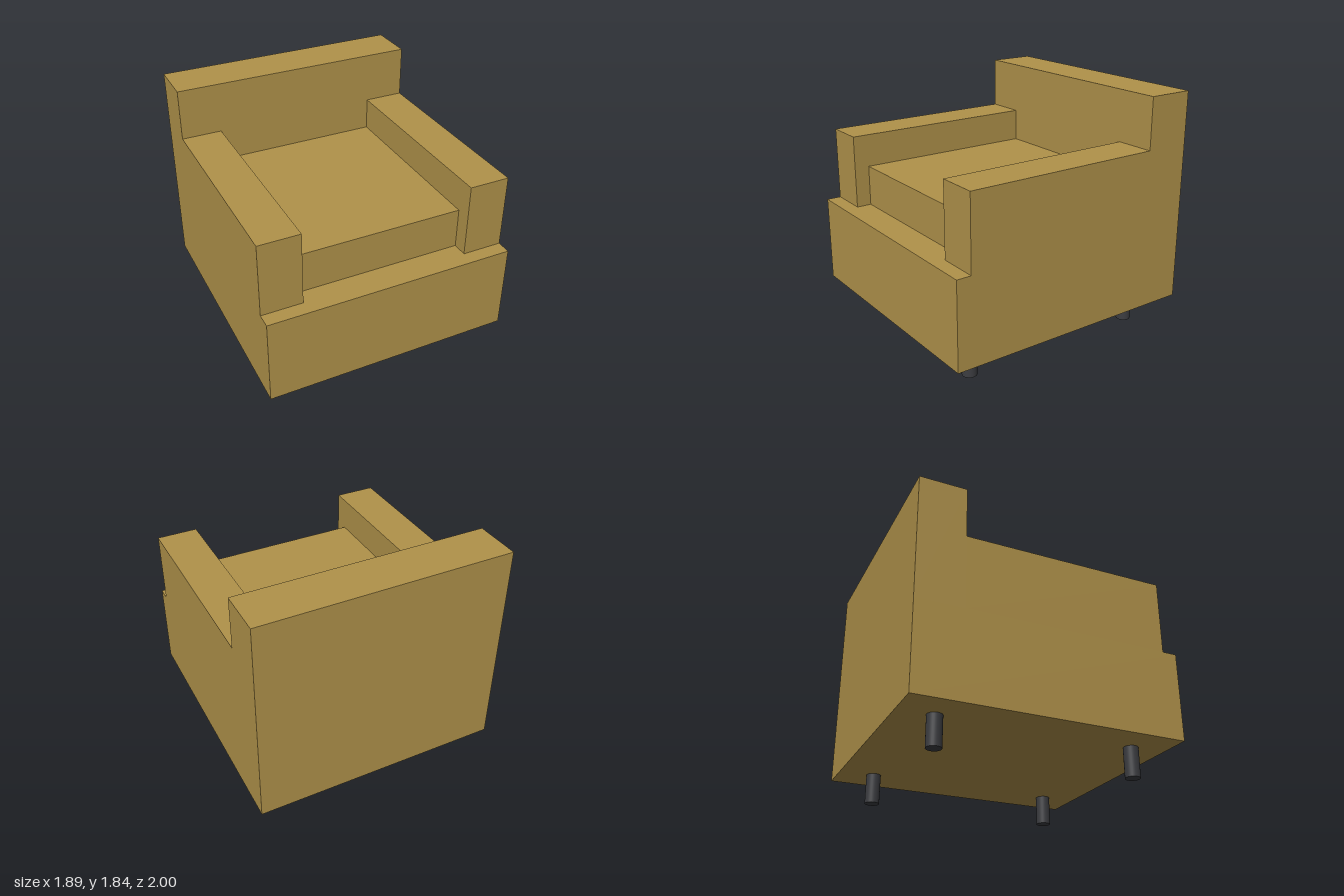
import * as THREE from 'three';

export function createModel() {
  const group = new THREE.Group();
  const fabric = new THREE.MeshStandardMaterial({ color: 0xb0924a });
  const legMaterial = new THREE.MeshStandardMaterial({ color: 0x3c3d41 });

  // Box given by its minimum and maximum on each axis
  function block(name, [x0, x1], [y0, y1], [z0, z1]) {
    const mesh = new THREE.Mesh(new THREE.BoxGeometry(x1 - x0, y1 - y0, z1 - z0), fabric);
    mesh.position.set((x0 + x1) / 2, (y0 + y1) / 2, (z0 + z1) / 2);
    mesh.name = name;
    group.add(mesh);
  }

  const halfWidth = 0.943, armInner = 0.635;
  const baseBottom = 0.225, baseTop = 0.89, backFront = -0.645;

  // Upholstered body
  block('base', [-halfWidth, halfWidth], [baseBottom, baseTop], [-1, 1]);
  block('backrest', [-halfWidth, halfWidth], [baseTop, 1.84], [-1, backFront]);
  block('seatCushion', [-armInner, armInner], [baseTop, 1.2], [backFront, 0.775]);
  block('leftArmrest', [armInner, halfWidth], [baseTop, 1.45], [backFront, 0.89]);
  block('rightArmrest', [-halfWidth, -armInner], [baseTop, 1.45], [backFront, 0.89]);

  // Four round legs
  const legGeometry = new THREE.CylinderGeometry(0.055, 0.055, baseBottom, 32);
  for (const [side, x] of [['Left', 0.675], ['Right', -0.675]]) {
    for (const [end, z] of [['front', 0.735], ['back', -0.735]]) {
      const leg = new THREE.Mesh(legGeometry, legMaterial);
      leg.position.set(x, baseBottom / 2, z);
      leg.name = `${end}${side}Leg`;
      group.add(leg);
    }
  }

  return group;
}
